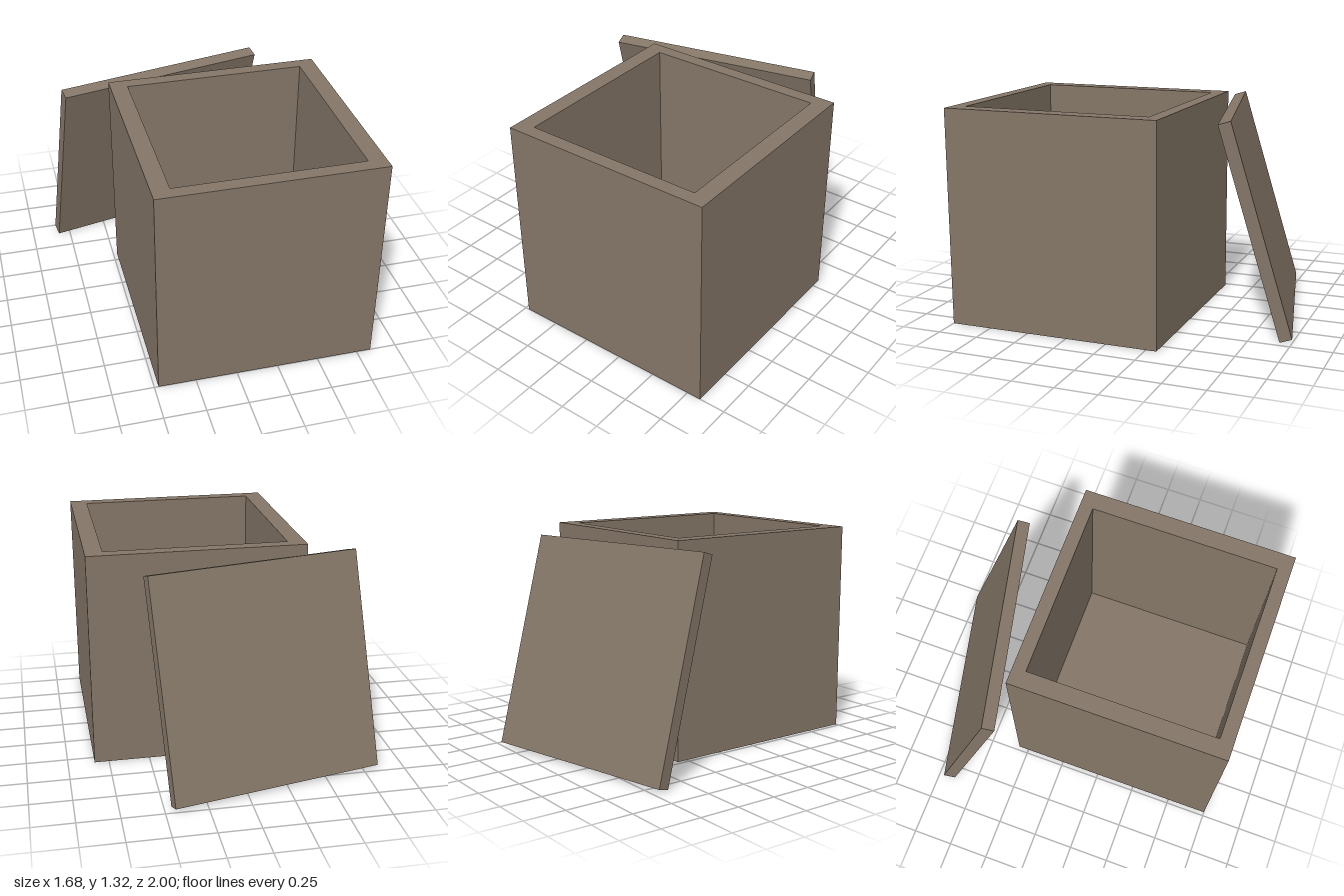
import * as THREE from 'three';

// Rectangle corners at height y, counter-clockwise seen from above
const loop = (x0, x1, z0, z1, y) => [[x0, y, z1], [x1, y, z1], [x1, y, z0], [x0, y, z0]];

// Skin a stack of rectangles and cap both ends, with flat faces
function loft(loops) {
  const pos = [];
  const quad = (a, b, c, d) => pos.push(...a, ...b, ...c, ...a, ...c, ...d);
  for (let k = 0; k < loops.length - 1; k++) {
    const a = loops[k], b = loops[k + 1];
    for (let i = 0; i < 4; i++) {
      const j = (i + 1) % 4;
      quad(a[i], a[j], b[j], b[i]);
    }
  }
  quad(...[...loops[0]].reverse());
  quad(...loops[loops.length - 1]);
  const geo = new THREE.BufferGeometry();
  geo.setAttribute('position', new THREE.Float32BufferAttribute(pos, 3));
  geo.computeVertexNormals();
  return geo;
}

export function createModel() {
  const group = new THREE.Group();
  group.name = 'openBoxWithLid';

  const wood = new THREE.MeshStandardMaterial({ color: 0x847667 });
  wood.name = 'dull brown';

  // Hollow box: up the outside, across the rim, down to the inner floor
  const height = 1.315, floor = 0.08;
  const outer = [-0.475, 0.838, -0.315, 1];
  const inner = [-0.37, 0.732, -0.233, 0.917];
  const box = new THREE.Mesh(loft([
    loop(...outer, 0),
    loop(...outer, height),
    loop(...inner, height),
    loop(...inner, floor),
  ]), wood);
  box.name = 'box';
  group.add(box);

  // Lid standing behind the box, turned and leaning forward
  const lid = new THREE.Mesh(new THREE.BoxGeometry(1.313, 1.315, 0.075), wood);
  lid.name = 'lid';
  lid.rotation.set(THREE.MathUtils.degToRad(16.5), THREE.MathUtils.degToRad(12.5), 0, 'YXZ');
  lid.position.set(-0.152, 0.641, -0.64);
  group.add(lid);

  return group;
}
